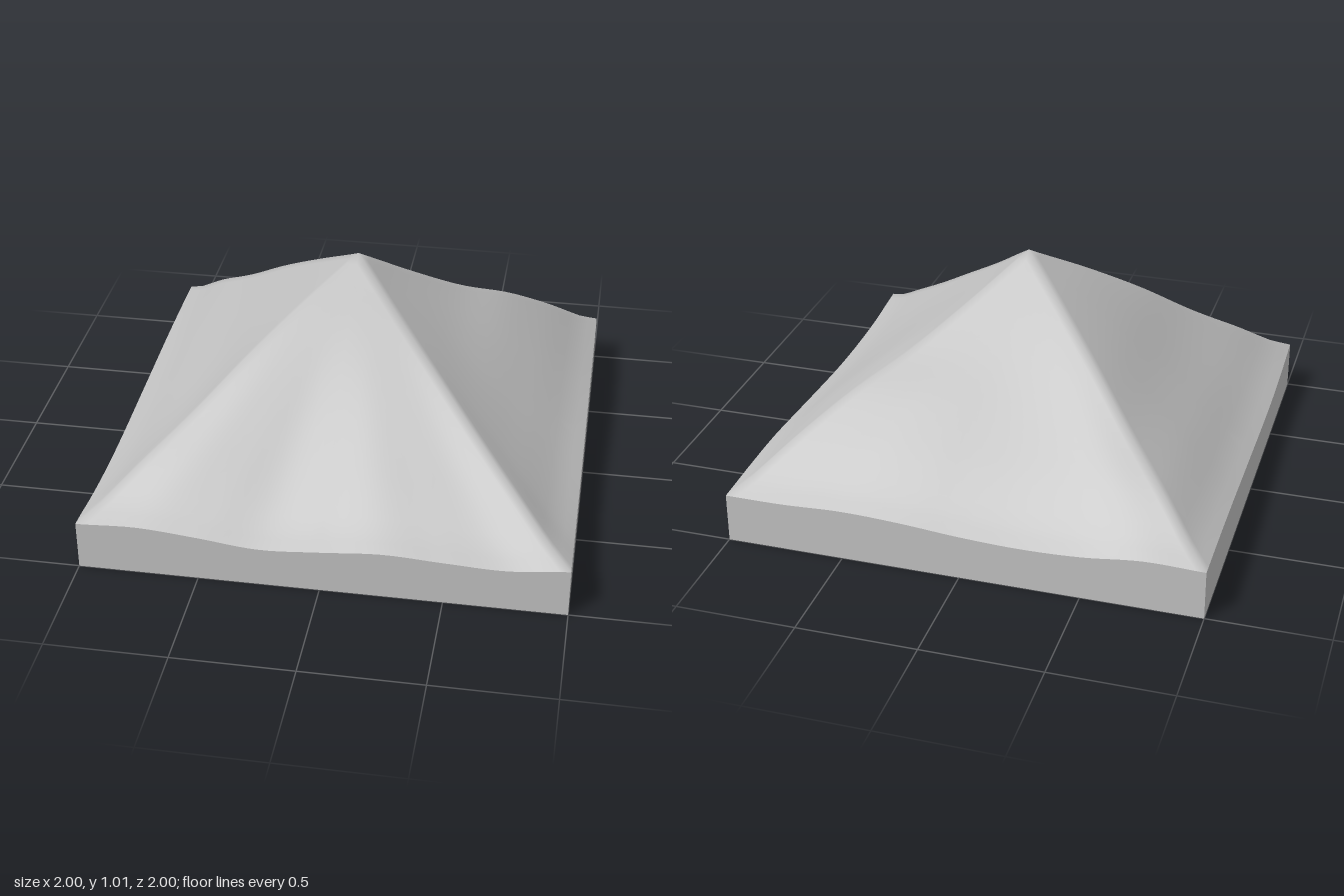
import * as THREE from 'three';

const N = 48; // grid cells per side
const CORNER = 0.212, RISE = 0.798;

// Waviness of each eave, sampled from the -1 end to the +1 end
const eaves = {
  front: [0, 0.01, -0.012, -0.04, -0.025, -0.005, -0.017, -0.026, 0],
  back: [0, 0.005, -0.022, -0.03, -0.02, 0, 0.01, 0, 0],
  plusX: [0, 0.006, 0.006, -0.009, -0.025, -0.038, -0.039, -0.027, 0],
  minusX: [0, 0, -0.005, -0.015, -0.025, -0.035, -0.038, -0.026, 0],
};

// Deviation of each hip from a straight line, from apex to corner; keyed by sign of x, then z
const hips = {
  '++': [0, -0.015, -0.02, -0.025, -0.02, 0],
  '-+': [0, 0.015, 0.015, -0.005, -0.005, 0],
  '+-': [0, -0.015, -0.018, 0.01, 0.008, 0],
  '--': [0, 0.01, 0.012, 0, 0.005, 0],
};

// Smooth interpolation through evenly spaced values, t from 0 to 1
function sample(list, t) {
  const last = list.length - 1;
  const f = THREE.MathUtils.clamp(t, 0, 1) * last;
  const i = Math.min(Math.floor(f), last - 1), k = f - i;
  const a = list[i], b = list[i + 1];
  const p = list[Math.max(i - 1, 0)], q = list[Math.min(i + 2, last)];
  return a + 0.5 * k * (b - p + k * (2 * p - 5 * a + 4 * b - q + k * (3 * (a - b) + q - p)));
}

function topHeight(x, z) {
  const d = Math.max(Math.abs(x), Math.abs(z));
  if (d < 1e-6) return CORNER + RISE;
  const alongX = Math.abs(z) >= Math.abs(x);
  const t = ((alongX ? x : z) / d + 1) / 2;
  const side = alongX ? (z > 0 ? 'front' : 'back') : (x > 0 ? 'plusX' : 'minusX');
  const s = (alongX ? z : x) > 0 ? '+' : '-';
  const hipA = hips[alongX ? '-' + s : s + '-'];
  const hipB = hips[alongX ? '+' + s : s + '+'];
  const hip = THREE.MathUtils.lerp(sample(hipA, d), sample(hipB, d), t);
  const flare = -0.012 * THREE.MathUtils.smoothstep(d, 0.75, 0.94) * (1 - THREE.MathUtils.smoothstep(d, 0.92, 1));
  return CORNER + RISE * (1 - d) + hip + flare
    + sample(eaves[side], t) * THREE.MathUtils.smoothstep(d, 0.2, 0.9);
}

const underHeight = (x, z) => 0.8 * (1 - Math.max(Math.abs(x), Math.abs(z)));

function build(positions, indices) {
  const g = new THREE.BufferGeometry();
  g.setAttribute('position', new THREE.Float32BufferAttribute(positions, 3));
  g.setIndex(indices);
  g.computeVertexNormals();
  return g;
}

// Square height surface whose cell diagonals follow the hips
function surface(height, facesUp) {
  const pos = [], idx = [];
  const tri = (a, b, c) => (facesUp ? idx.push(a, b, c) : idx.push(a, c, b));
  for (let j = 0; j <= N; j++) {
    for (let i = 0; i <= N; i++) {
      const x = -1 + 2 * i / N, z = -1 + 2 * j / N;
      pos.push(x, height(x, z), z);
      if (i === N || j === N) continue;
      const a = j * (N + 1) + i, b = a + 1, c = a + N + 1, d = c + 1;
      if ((i < N / 2) === (j < N / 2)) { tri(a, c, d); tri(a, d, b); }
      else { tri(a, c, b); tri(b, c, d); }
    }
  }
  return build(pos, idx);
}

// Vertical rim from y = 0 up to the wavy eave; p maps t to [x, z]
function rim(p) {
  const pos = [], idx = [];
  for (let i = 0; i <= N; i++) {
    const [x, z] = p(-1 + 2 * i / N);
    pos.push(x, 0, z, x, topHeight(x, z), z);
    if (i < N) { const a = 2 * i; idx.push(a, a + 2, a + 3, a, a + 3, a + 1); }
  }
  return build(pos, idx);
}

export function createModel() {
  const group = new THREE.Group();
  group.name = 'hippedRoof';
  const grey = new THREE.MeshStandardMaterial({ color: 0xc0c0c0 });
  grey.name = 'light grey';
  const add = (name, geometry) => {
    const mesh = new THREE.Mesh(geometry, grey);
    mesh.name = name;
    group.add(mesh);
  };

  add('roofTop', surface(topHeight, true));
  add('roofUnderside', surface(underHeight, false));
  add('frontRim', rim(t => [t, 1]));
  add('backRim', rim(t => [-t, -1]));
  add('leftRim', rim(t => [1, -t]));
  add('rightRim', rim(t => [-1, t]));
  return group;
}
